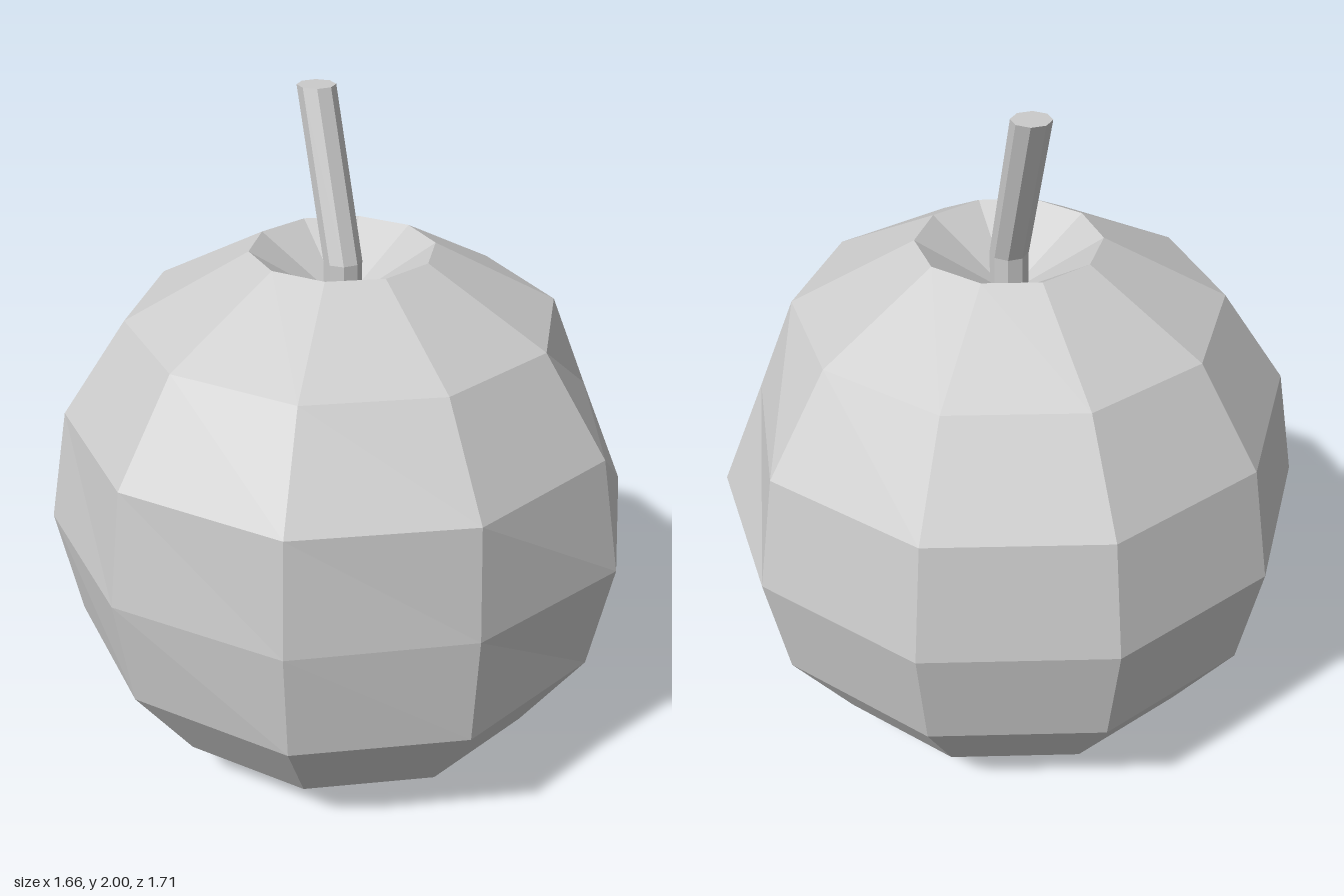
import * as THREE from 'three';

const grey = new THREE.MeshStandardMaterial({ color: 0xcccccc, flatShading: true });

// Skin a stack of rings [y, radius, zCentre], listed from bottom to top.
// dents maps "ring,side" to a radius that replaces the regular one.
function ringMesh(name, rings, sides, phase, dents = {}) {
  const pos = [], index = [];
  rings.forEach(([y, r, zc], j) => {
    for (let k = 0; k < sides; k++) {
      const a = ((k + phase) / sides) * Math.PI * 2;
      const radius = dents[`${j},${k}`] ?? r;
      pos.push(Math.sin(a) * radius, y, zc + Math.cos(a) * radius);
    }
  });
  for (let j = 0; j < rings.length - 1; j++) {
    for (let k = 0; k < sides; k++) {
      const next = (k + 1) % sides;
      const a = j * sides + k, b = j * sides + next;
      const c = b + sides, d = a + sides;
      if (rings[j][1] > 0) index.push(a, b, d);
      if (rings[j + 1][1] > 0) index.push(b, c, d);
    }
  }
  const geometry = new THREE.BufferGeometry();
  geometry.setAttribute('position', new THREE.Float32BufferAttribute(pos, 3));
  geometry.setIndex(index);
  geometry.computeVertexNormals();
  const mesh = new THREE.Mesh(geometry, grey);
  mesh.name = name;
  return mesh;
}

export function createModel() {
  const model = new THREE.Group();
  model.name = 'apple';

  // Ten-sided fruit with a shallow point below and a sunken crown
  const zc = 0.02;
  const body = [
    [0, 0], [0.07, 0.34], [0.145, 0.622], [0.43, 0.812], [0.77, 0.875],
    [1.11, 0.812], [1.39, 0.622], [1.58, 0.265], [1.41, 0],
  ].map(([y, r]) => [y, r, zc]);
  // Slight irregularities around the waist and one flattened shoulder
  const dents = { '4,0': 0.835, '4,9': 0.845, '4,8': 0.862, '5,2': 0.735 };
  model.add(ringMesh('fruit', body, 10, 0, dents));

  // Eight-sided stem: upright in the hollow, then leaning back
  const r = 0.055;
  const stem = [[1.38, r, zc], [1.54, r, zc], [2, r, -0.15], [2, 0, -0.15]];
  model.add(ringMesh('stem', stem, 8, 0.5));

  return model;
}
